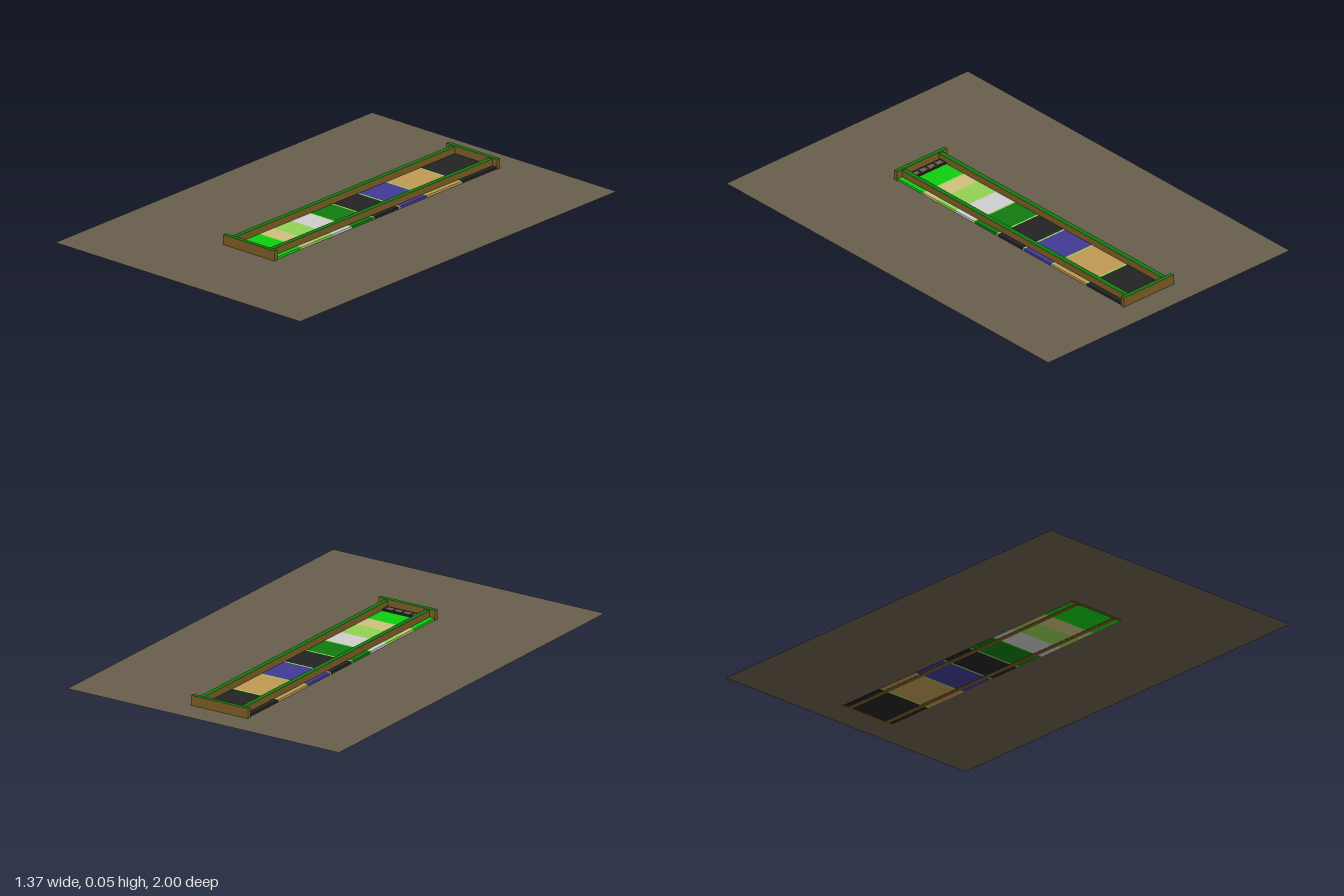
import * as THREE from 'three';

const mat = (name, color) => {
  const m = new THREE.MeshStandardMaterial({ color });
  m.name = name;
  return m;
};

export function createModel() {
  const model = new THREE.Group();
  const ground = mat('earth brown', 0x695e4d);
  ground.side = THREE.DoubleSide;
  const wood = mat('wood brown', 0x785a24);
  const green = mat('dark green', 0x107c10);
  const black = mat('black', 0x232323);
  const tan = mat('tan', 0xc09a54);
  const blue = mat('blue violet', 0x423a94);
  const white = mat('pale grey', 0xcecece);
  const lime = mat('light green', 0x94d054);
  const cream = mat('cream', 0xcec07c);
  const bright = mat('bright green', 0x10ce10);
  // Wooden boards have a painted top face
  const board = [wood, wood, green, wood, wood, wood];

  // Box given by its minimum and maximum on each axis
  const box = (name, material, x0, x1, y0, y1, z0, z1) => {
    const mesh = new THREE.Mesh(new THREE.BoxGeometry(x1 - x0, y1 - y0, z1 - z0), material);
    mesh.position.set((x0 + x1) / 2, (y0 + y1) / 2, (z0 + z1) / 2);
    mesh.name = name;
    model.add(mesh);
  };

  // Ground sheet
  const sheet = new THREE.Mesh(new THREE.PlaneGeometry(1.37, 2).rotateX(-Math.PI / 2), ground);
  sheet.position.y = 0.003;
  sheet.name = 'ground';
  model.add(sheet);

  // Coloured bed sections, back to front, with narrow lime dividers
  const sections = [
    [black, -0.86, -0.639], [lime, -0.639, -0.631],
    [tan, -0.631, -0.427], [lime, -0.427, -0.419],
    [blue, -0.419, -0.251], [lime, -0.251, -0.243],
    [black, -0.243, -0.088], [lime, -0.088, -0.08],
    [green, -0.08, 0.055], [lime, 0.055, 0.063],
    [white, 0.063, 0.176], [lime, 0.176, 0.29],
    [cream, 0.29, 0.371], [lime, 0.371, 0.378],
    [bright, 0.378, 0.54],
  ];
  for (const [material, z0, z1] of sections)
    box('bedSection', material, -0.138, 0.138, 0.001, 0.013, z0, z1);

  // Long side rails
  for (const s of [-1, 1])
    box('sideRail', board, s * 0.105 - 0.011, s * 0.105 + 0.011, 0, 0.043, -0.86, 0.54);

  // End boards
  box('frontBoard', board, -0.143, 0.143, 0.002, 0.048, 0.532, 0.551);
  box('backBoard', board, -0.143, 0.143, 0.002, 0.048, -0.876, -0.857);

  // Small rack with four trays
  box('rack', black, -0.094, 0.094, 0.013, 0.02, 0.485, 0.525);
  for (let i = 0; i < 4; i++) {
    const x = -0.068 + i * 0.044;
    box('tray', ground, x - 0.016, x + 0.016, 0.018, 0.021, 0.492, 0.516);
  }
  return model;
}
